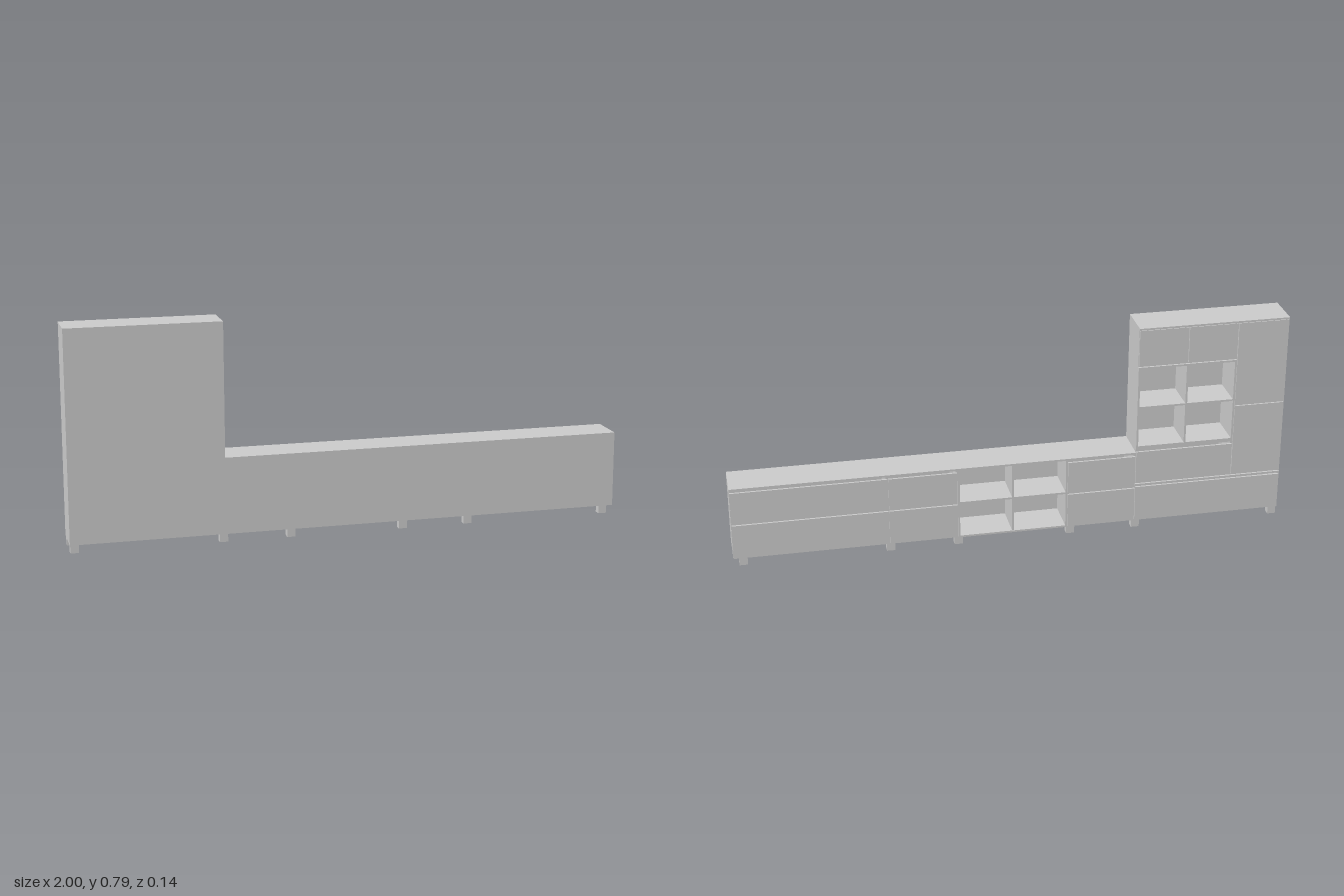
import * as THREE from 'three';

const material = new THREE.MeshStandardMaterial({ color: 0xcccccc });
const T = 0.007;      // board thickness
const Z = 0.07;       // half depth
const GAP = 0.0015;   // half joint between fronts
const FZ = -Z + T;    // plane the fronts are mounted on

// Box given by its limits on each axis
function board(parent, name, x0, x1, y0, y1, z0, z1) {
  const mesh = new THREE.Mesh(new THREE.BoxGeometry(x1 - x0, y1 - y0, z1 - z0), material);
  mesh.position.set((x0 + x1) / 2, (y0 + y1) / 2, (z0 + z1) / 2);
  mesh.name = name;
  parent.add(mesh);
}

// Hollow carcass, closed at +z and open at -z; zf is where its sides end
function carcass(parent, name, x0, x1, y0, y1, zf = FZ) {
  const g = new THREE.Group();
  g.name = name;
  board(g, 'sidePanel', x0, x0 + T, y0, y1 - T, zf, Z);
  board(g, 'sidePanel', x1 - T, x1, y0, y1 - T, zf, Z);
  board(g, 'topPanel', x0, x1, y1 - T, y1, -Z, Z);
  board(g, 'bottomPanel', x0 + T, x1 - T, y0, y0 + T, zf, Z);
  board(g, 'rearPanel', x0 + T, x1 - T, y0 + T, y1 - T, Z - T, Z);
  parent.add(g);
  return g;
}

// Drawer or door front
function front(parent, name, x0, x1, y0, y1) {
  board(parent, name, x0 + GAP, x1 - GAP, y0 + GAP, y1 - GAP, -Z, FZ);
}

// Cross of one shelf and one upright for an open 2 x 2 compartment
function cross(parent, x0, x1, y0, y1) {
  const xm = (x0 + x1) / 2, ym = (y0 + y1) / 2;
  board(parent, 'divider', xm - T / 2, xm + T / 2, y0, y1, -Z + 0.002, Z - T);
  for (const [a, b] of [[x0, xm - T / 2], [xm + T / 2, x1]]) {
    board(parent, 'shelf', a, b, ym - T / 2, ym + T / 2, -Z + 0.002, Z - T);
  }
}

export function createModel() {
  const model = new THREE.Group();
  model.name = 'wallUnit';
  const y0 = 0.031, yLow = 0.307, yBase = 0.18, yTop = 0.788;
  const xTall = -0.453, recess = 0.008;

  // Low drawer cabinets with a finger recess over each drawer
  for (const [a, b] of [[xTall, -0.203], [0.197, 0.445], [0.445, 1]]) {
    const g = carcass(model, 'drawerCabinet', a, b, y0, yLow);
    const mid = 0.168;
    front(g, 'lowerDrawer', a, b, y0, mid - recess / 2);
    front(g, 'upperDrawer', a, b, mid, yLow - T - recess);
    board(g, 'drawerRail', a + T, b - T, mid - T, mid, FZ, Z - T);
  }

  // Low open shelving
  const open = carcass(model, 'openCabinet', -0.203, 0.197, y0, yLow, -Z);
  cross(open, -0.203 + T, 0.197 - T, y0 + T, yLow - T);

  // Wide drawer below the tall section
  const base = carcass(model, 'baseCabinet', -1, xTall, y0, yBase);
  front(base, 'baseDrawer', -1, xTall, y0, yBase - T - recess / 2);

  // Narrow tall cupboard with two doors
  const xa = -0.813, xb = -0.633;
  const cupboard = carcass(model, 'cupboard', -1, xa, yBase, yTop);
  front(cupboard, 'lowerDoor', -1, xa, yBase + 0.004, 0.46);
  front(cupboard, 'upperDoor', -1, xa, 0.46, yTop - T);
  board(cupboard, 'shelf', -1 + T, xa - T, 0.4565, 0.4635, FZ, Z - T);

  // Drawer, open shelves and top doors beside the cupboard
  const yDrawer = 0.325, yDoor = 0.64;
  const drawer = carcass(model, 'middleDrawerCabinet', xa, xTall, yBase, yDrawer);
  front(drawer, 'middleDrawer', xa, xTall, yBase + 0.004, yDrawer - T - recess);

  const shelves = carcass(model, 'openShelves', xa, xTall, yDrawer, yDoor, -Z);
  cross(shelves, xa + T, xTall - T, yDrawer + T, yDoor - T);

  for (const [a, b] of [[xa, xb], [xb, xTall]]) {
    const g = carcass(model, 'topCupboard', a, b, yDoor, yTop);
    front(g, 'topDoor', a, b, yDoor + 0.004, yTop - T);
  }

  // Square feet in pairs
  for (const x of [-0.983, -0.46, -0.217, 0.195, 0.44, 0.965]) {
    for (const z of [-0.049, 0.049]) {
      board(model, 'foot', x - 0.015, x + 0.015, 0, y0, z - 0.0125, z + 0.0125);
    }
  }
  return model;
}
